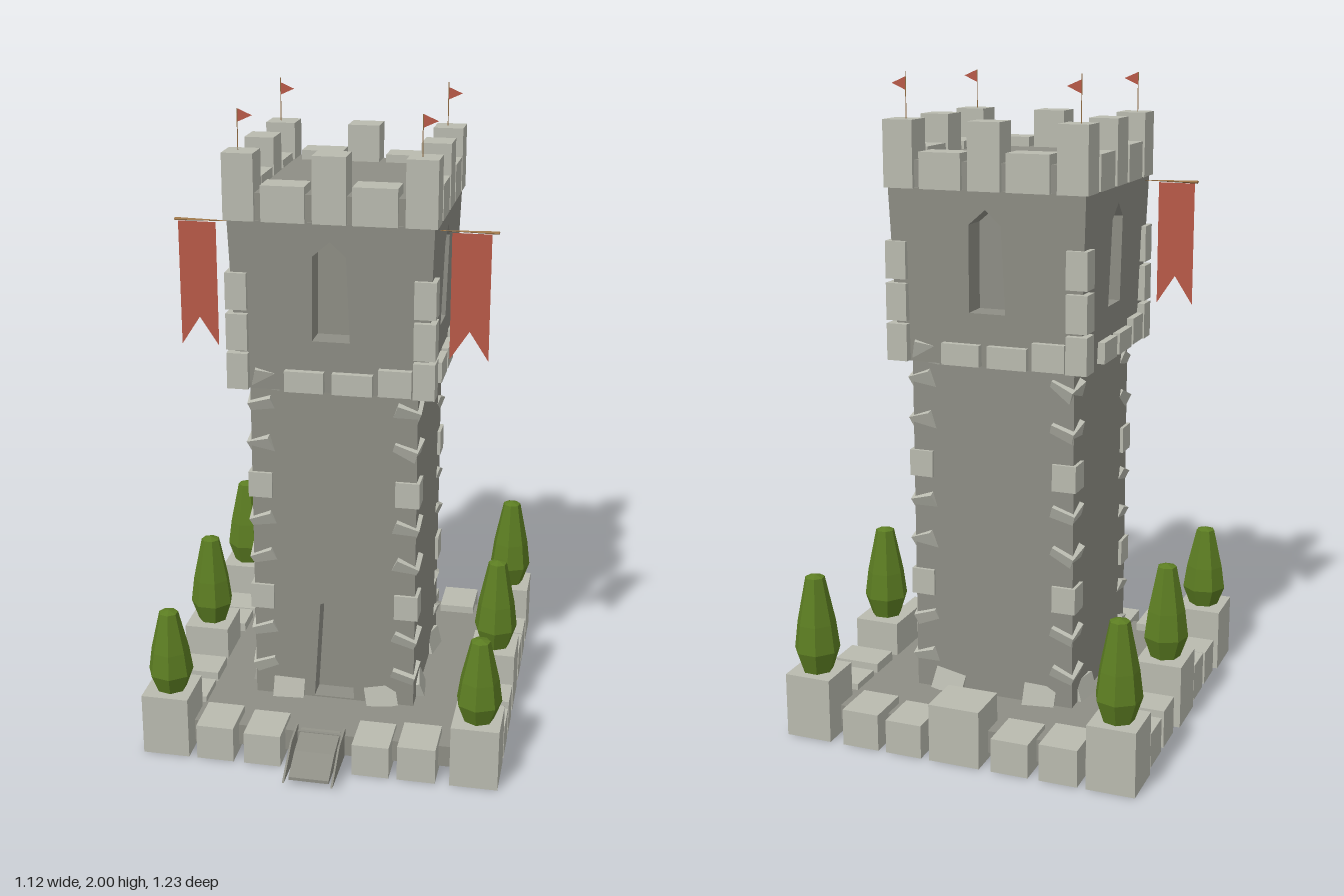
import * as THREE from 'three';

const mat = (color) => new THREE.MeshStandardMaterial({ color, flatShading: true, side: THREE.DoubleSide });
const STONE = mat(0xb9baaf), WALL = mat(0x8e8e85), LEAF = mat(0x5c7d22), CLOTH = mat(0xb85a48), WOOD = mat(0x9a7448);

let seed = 7;
const rand = () => (seed = (seed * 16807) % 2147483647) / 2147483647;
const jitter = (a) => (rand() * 2 - 1) * a;

function add(parent, name, geo, material, x = 0, y = 0, z = 0) {
  const m = new THREE.Mesh(geo, material);
  m.name = name;
  m.position.set(x, y, z);
  parent.add(m);
  return m;
}

// Box given by its extents
function block(parent, name, x0, x1, y0, y1, z0, z1, material = STONE) {
  return add(parent, name, new THREE.BoxGeometry(x1 - x0, y1 - y0, z1 - z0), material,
    (x0 + x1) / 2, (y0 + y1) / 2, (z0 + z1) / 2);
}

const polygon = (pts, Type = THREE.Shape) => new Type(pts.map(([x, y]) => new THREE.Vector2(x, y)));

// Wall slab facing +z at distance h, with optional opening, flaring outward to the top
function wall(parent, name, h, y0, y1, depth, opening, flare, turn) {
  const s = polygon([[-h, y0], [h, y0], [h, y1], [-h, y1]]);
  if (opening) s.holes.push(polygon(opening, THREE.Path));
  const g = new THREE.ExtrudeGeometry(s, { depth, bevelEnabled: false });
  g.translate(0, 0, h - depth);
  const p = g.attributes.position;
  for (let i = 0; i < p.count; i++) {
    const k = 1 + (flare / h) * ((p.getY(i) - y0) / (y1 - y0));
    p.setX(i, p.getX(i) * k);
    p.setZ(i, p.getZ(i) * k);
  }
  g.computeVertexNormals();
  add(parent, name, g, WALL).rotation.y = turn * Math.PI / 2;
}

// Profile in (z, y) extruded along x
function sideProfile(parent, name, pts, x0, x1) {
  const g = new THREE.ExtrudeGeometry(polygon(pts), { depth: x1 - x0, bevelEnabled: false });
  g.rotateY(-Math.PI / 2);
  add(parent, name, g, WALL, x1);
}

function buildBase(root) {
  const base = new THREE.Group();
  base.name = 'base';
  root.add(base);
  block(base, 'platform', -0.485, 0.485, 0.02, 0.09, -0.545, 0.42, WALL);
  // Tall planter blocks
  for (const [x0, x1] of [[-0.56, -0.412], [0.41, 0.557]])
    for (const [z0, z1] of [[-0.617, -0.468], [-0.143, 0.017], [0.33, 0.49]])
      block(base, 'planterBlock', x0, x1, 0, 0.2, z0, z1);
  block(base, 'backBlock', -0.08, 0.08, 0, 0.18, -0.617, -0.47);
  // Low border stones
  [[-0.43, -0.318], [-0.292, -0.182], [0.06, 0.17], [0.195, 0.308]].forEach(([z0, z1], i) => {
    const h = i % 3 ? 0.12 : 0.11;
    block(base, 'sideStone', -0.55, -0.405, 0, h, z0, z1);
    block(base, 'sideStone', 0.41, 0.557, 0, h, z0, z1);
  });
  [[-0.386, -0.268], [-0.234, -0.118], [0.107, 0.222], [0.248, 0.366]].forEach(([x0, x1], i) => {
    const h = i % 3 ? 0.105 : 0.115;
    block(base, 'frontStone', x0, x1, 0, h, 0.345, 0.49);
    block(base, 'backStone', x0, x1, 0, h, -0.617, -0.47);
  });
  // Entrance ramp with thin cheek stones
  sideProfile(base, 'ramp', [[0.4, 0.02], [0.585, 0.02], [0.585, 0.03], [0.5, 0.07], [0.4, 0.092]], -0.07, 0.055);
  for (const x of [-0.084, 0.066])
    sideProfile(base, 'rampCheek', [[0.41, 0.02], [0.612, 0.025], [0.5, 0.1], [0.41, 0.11]], x, x + 0.006);
}

function buildTower(root) {
  const tower = new THREE.Group();
  tower.name = 'tower';
  tower.position.set(-0.005, 0, -0.055);
  root.add(tower);

  // Shaft with pointed doorway, upper storey with pointed windows
  const door = [[-0.065, 0.095], [0.065, 0.095], [0.045, 0.39], [0.012, 0.447], [-0.045, 0.425]];
  const window = [[-0.056, 1.31], [0.056, 1.31], [0.045, 1.57], [0, 1.615], [-0.05, 1.57]];
  block(tower, 'shaftCore', -0.19, 0.19, 0.02, 1.67, -0.19, 0.19, WALL);
  block(tower, 'upperFloor', -0.285, 0.285, 1.15, 1.18, -0.285, 0.285, WALL);
  block(tower, 'roof', -0.302, 0.302, 1.64, 1.75, -0.302, 0.302, WALL);
  for (let t = 0; t < 4; t++) {
    wall(tower, 'shaftWall', 0.258, 0.018, 1.16, 0.07, t === 0 ? door : null, 0, t);
    wall(tower, 'upperWall', 0.288, 1.15, 1.67, 0.08, window, 0.018, t);

    const side = new THREE.Group();
    side.name = 'towerSide';
    side.rotation.y = t * Math.PI / 2;
    tower.add(side);

    // Merlons
    block(side, 'cornerMerlon', -0.315, -0.222, 1.668, 1.865, 0.222, 0.315);
    block(side, 'middleMerlon', -0.05, 0.05, 1.668, 1.865, 0.225, 0.315);
    block(side, 'lowMerlon', -0.202, -0.072, 1.668, 1.775, 0.225, 0.315);
    block(side, 'lowMerlon', 0.068, 0.2, 1.668, 1.78, 0.225, 0.315);

    // Course of stones under the upper storey
    block(side, 'courseStone', -0.14, -0.02, 1.152, 1.217, 0.25, 0.312);
    block(side, 'courseStone', 0.005, 0.128, 1.152, 1.217, 0.25, 0.312);
    block(side, 'courseStone', 0.145, 0.245, 1.155, 1.237, 0.25, 0.312);
    const loose = block(side, 'courseStone', -0.245, -0.16, 1.155, 1.215, 0.228, 0.288);
    loose.rotation.set(0.3, 0.15, -0.25);

    // Corner stones of the upper storey
    for (const y of [1.153, 1.275, 1.4])
      block(side, 'upperCornerStone', -0.315, -0.25, y, y + 0.112, 0.25, 0.315);

    // Weathered corner stones of the shaft, most of them sunk and tilted
    for (let i = 0; i < 8; i++) {
      const sunk = i % 3 !== 2;
      const at = sunk ? 0.221 : 0.231;
      const s = add(side, 'shaftCornerStone', new THREE.BoxGeometry(0.075, 0.082, 0.075), STONE,
        -at, 0.185 + i * 0.128, at);
      if (sunk) s.rotation.set(0.36 + jitter(0.08), jitter(0.15), 0.36 + jitter(0.08));
    }

    // Tilted stones at the foot
    for (const x of [-0.15, 0.15]) {
      const s = add(side, 'footStone', new THREE.BoxGeometry(0.1, 0.07, 0.06), STONE, x, 0.11, 0.243);
      s.rotation.set(-0.3, jitter(0.2), jitter(0.35));
    }
  }
}

function buildTree(root, x, z, top) {
  const h = top - 0.2;
  const pts = [[0, 0], [0.048, 0], [0.071, 0.22], [0.06, 0.5], [0.03, 0.97], [0, 1]];
  const g = new THREE.LatheGeometry(pts.map(([r, y]) => new THREE.Vector2(r, y * h)), 7);
  add(root, 'tree', g, LEAF, x, 0.2, z).rotation.y = rand() * 6;
}

function buildBanner(root, x) {
  const w = 0.0575;
  const cloth = polygon([[-w, 0], [w, 0], [w, -0.38], [0, -0.292], [-w, -0.38]]);
  add(root, 'banner', new THREE.ShapeGeometry(cloth), CLOTH, x, 1.65, 0.21);
  const geo = new THREE.CylinderGeometry(0.002, 0.012, 0.17, 4);
  geo.rotateZ(Math.PI / 2 * Math.sign(x)).scale(1, 0.4, 1);
  add(root, 'bannerPole', geo, WOOD, Math.sign(x) * 0.395, 1.655, 0.208);
}

function buildFlag(root, x, z) {
  const top = z < 0 ? 2 : 1.985;
  add(root, 'flagPole', new THREE.CylinderGeometry(0.0014, 0.0014, top - 1.86, 4), WOOD, x, (top + 1.86) / 2, z);
  const pennant = polygon([[0, -0.018], [0.044, 0.002], [0, 0.021]]);
  add(root, 'flag', new THREE.ShapeGeometry(pennant), CLOTH, x, 1.964, z);
}

export function createModel() {
  seed = 7;
  const root = new THREE.Group();
  root.name = 'watchtower';
  buildBase(root);
  buildTower(root);
  for (const x of [-0.485, 0.485]) {
    buildTree(root, x, -0.545, 0.51);
    buildTree(root, x, -0.062, 0.505);
    buildTree(root, x, 0.415, 0.47);
  }
  buildBanner(root, -0.413);
  buildBanner(root, 0.402);
  for (const x of [-0.282, 0.256]) for (const z of [-0.322, 0.212]) buildFlag(root, x, z);
  return root;
}
